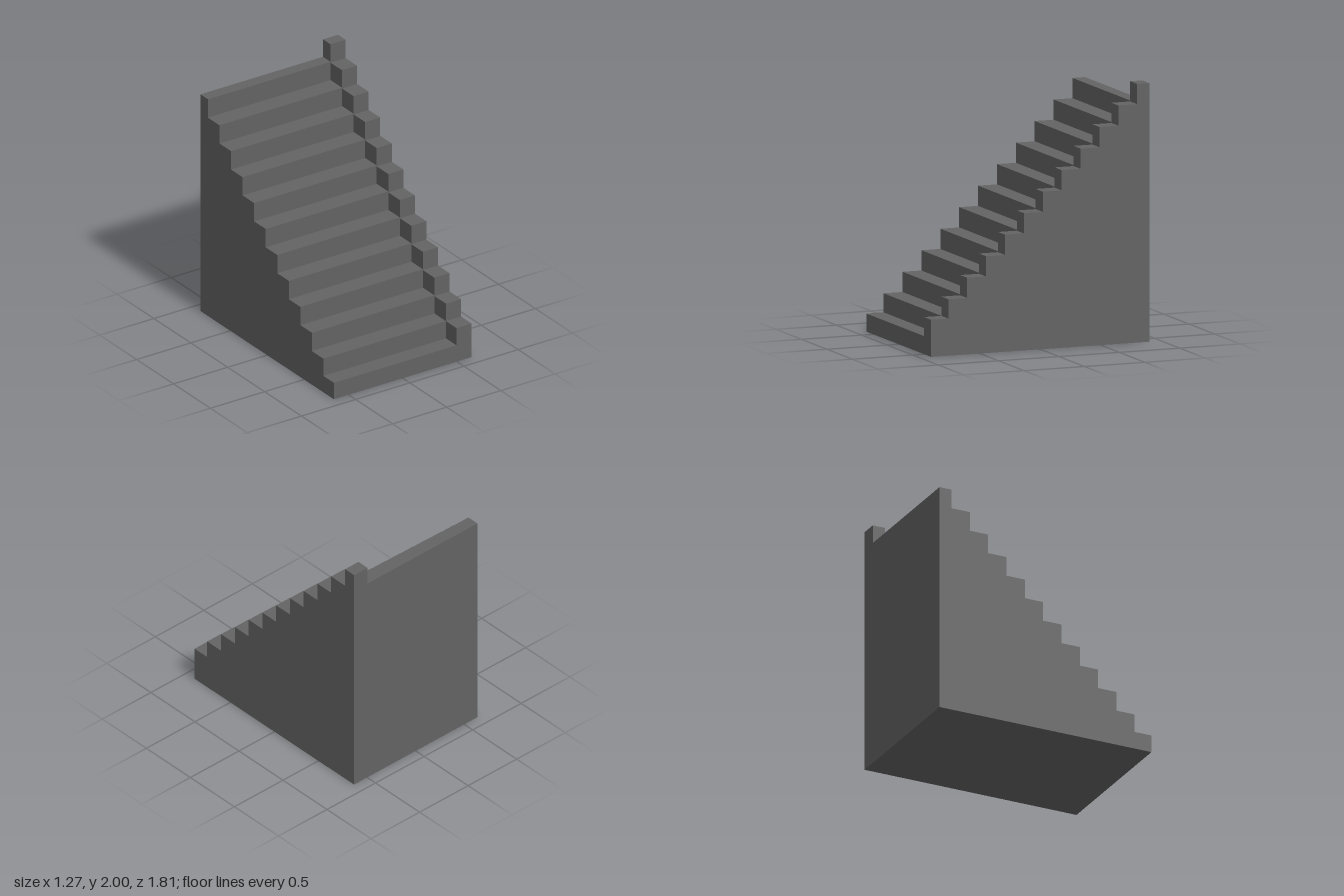
import * as THREE from 'three';

const HALF_WIDTH = 0.635, HALF_DEPTH = 0.905;
const CURB_INNER = 0.496;
const STEPS = 12, PITCH = 0.1564, FIRST_EDGE = 0.762;

// Solid stepped block between two x positions; heightAt(i) is the top of step i
function steppedBlock(name, x0, x1, heightAt, material) {
  const shape = new THREE.Shape(); // drawn with shape x = -z
  shape.moveTo(-HALF_DEPTH, 0);
  shape.lineTo(HALF_DEPTH, 0);
  shape.lineTo(HALF_DEPTH, heightAt(STEPS - 1));
  for (let i = STEPS - 1; i > 0; i--) {
    const edge = -(FIRST_EDGE - (i - 1) * PITCH);
    shape.lineTo(edge, heightAt(i));
    shape.lineTo(edge, heightAt(i - 1));
  }
  shape.lineTo(-HALF_DEPTH, heightAt(0));
  shape.closePath();
  const geometry = new THREE.ExtrudeGeometry(shape, { depth: x1 - x0, bevelEnabled: false });
  geometry.rotateY(Math.PI / 2);
  geometry.translate(x0, 0, 0);
  const mesh = new THREE.Mesh(geometry, material);
  mesh.name = name;
  return mesh;
}

export function createModel() {
  const group = new THREE.Group();
  group.name = 'staircase';
  const material = new THREE.MeshStandardMaterial({ color: 0x636363, flatShading: true });

  // Main flight, with a slightly lower first step
  const stairHeight = (i) => (i === 0 ? 0.14 : 0.287 + (i - 1) * PITCH);
  group.add(steppedBlock('stairs', -HALF_WIDTH, CURB_INNER, stairHeight, material));

  // Stepped side curb, one rise above the treads
  const curbHeight = (i) => (i === 0 ? 0.287 : 2 - (STEPS - 1 - i) * PITCH);
  group.add(steppedBlock('sideCurb', CURB_INNER, HALF_WIDTH, curbHeight, material));

  return group;
}
